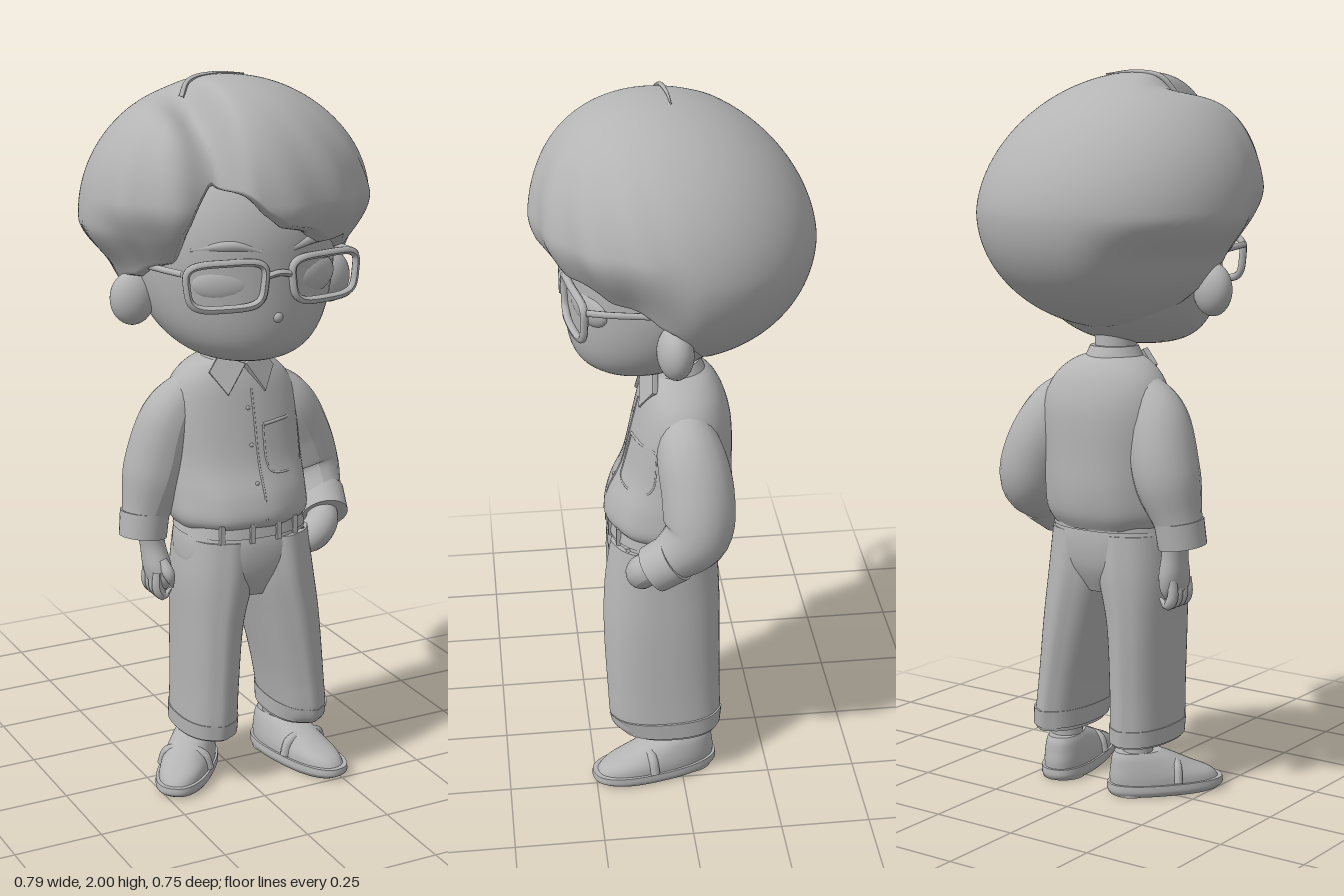
import * as THREE from 'three';

const V = (x, y, z) => new THREE.Vector3(x, y, z);
const clay = new THREE.MeshStandardMaterial({ color: 0xb4b4b4 });
clay.name = 'grey clay';

const spow = (v, e) => Math.sign(v) * Math.pow(Math.abs(v), e);
const smooth = THREE.MathUtils.smoothstep;

// Closed-around surface: fn(angle, v) with angle 0 at the front and v running downwards
function surface(fn, nu, nv) {
  const pos = [], idx = [];
  for (let j = 0; j <= nv; j++) for (let i = 0; i < nu; i++) {
    pos.push(...fn((i / nu) * Math.PI * 2 - Math.PI, j / nv, j));
  }
  for (let j = 0; j < nv; j++) for (let i = 0; i < nu; i++) {
    const a = j * nu + i, b = j * nu + (i + 1) % nu, c = a + nu, d = b + nu;
    idx.push(a, c, b, b, c, d);
  }
  const g = new THREE.BufferGeometry();
  g.setAttribute('position', new THREE.Float32BufferAttribute(pos, 3));
  g.setIndex(idx);
  g.computeVertexNormals();
  return g;
}

// Smooth interpolation through rows of numbers
function sample(rows, u) {
  const n = rows.length - 1, f = Math.min(Math.max(u, 0), 1) * n;
  const i = Math.min(Math.floor(f), n - 1), t = f - i, at = k => rows[Math.min(Math.max(k, 0), n)];
  return rows[i].map((p1, k) => {
    const p0 = at(i - 1)[k], p2 = at(i + 1)[k], p3 = at(i + 2)[k];
    return p1 + 0.5 * t * (p2 - p0 + t * (2 * p0 - 5 * p1 + 4 * p2 - p3 + t * (3 * (p1 - p2) + p3 - p0)));
  });
}

// Stack of horizontal rings [y, cx, cz, rx, rz] from top to bottom, capped; crease presses front and back folds
function loft(rows, { n = 2, crease = 0, ripple = 0 } = {}) {
  const steps = rows.length * 5;
  return surface((a, _, j) => {
    const u = (Math.min(Math.max(j, 2), steps + 2) - 2) / steps;
    const [y, cx, cz, rx, rz] = sample(rows, u);
    const k = j === 0 || j === steps + 4 ? 0 : 1;
    const fold = 1 + crease * Math.exp(-Math.pow(Math.sin(a) / 0.16, 2))
      + ripple * Math.sin(a * 9 + y * 8) * smooth(u, 0.3, 0.9);
    return [cx + k * rx * fold * spow(Math.sin(a), 2 / n), y, cz + k * rz * fold * spow(Math.cos(a), 2 / n)];
  }, 56, steps + 4);
}

// Tapered tube through points
function limb(pts, radii, seg = 28, rad = 20, closed = false) {
  const curve = new THREE.CatmullRomCurve3(pts, closed);
  const g = new THREE.TubeGeometry(curve, seg, 1, rad, closed);
  const p = g.attributes.position, v = V(0, 0, 0);
  for (let i = 0; i < p.count; i++) {
    const u = Math.floor(i / (rad + 1)) / seg, c = curve.getPointAt(u);
    const r = sample(radii.map(x => [x]), u)[0];
    v.fromBufferAttribute(p, i).sub(c).multiplyScalar(r).add(c);
    p.setXYZ(i, v.x, v.y, v.z);
  }
  g.computeVertexNormals();
  return g;
}
const wire = (pts, r, closed = false) => limb(pts, [r, r], pts.length * 8, 8, closed);

// Cylinder between two points
function rod(a, b, ra, rb) {
  const g = new THREE.CylinderGeometry(rb, ra, a.distanceTo(b), 32);
  g.applyQuaternion(new THREE.Quaternion().setFromUnitVectors(V(0, 1, 0), b.clone().sub(a).normalize()));
  const m = a.clone().add(b).multiplyScalar(0.5);
  return g.translate(m.x, m.y, m.z);
}
const ball = (x, y, z, rx, ry, rz, yaw = 0) => new THREE.SphereGeometry(1, 32, 20).scale(rx, ry, rz).rotateY(yaw).translate(x, y, z);

// Height of the hairline by angle from the front
const hairline = [[-3.15, 1.31], [-2.2, 1.33], [-1.75, 1.38], [-1.5, 1.48], [-1.1, 1.51], [-0.85, 1.54], [-0.65, 1.65],
  [-0.47, 1.79], [-0.3, 1.73], [-0.15, 1.675], [0.08, 1.635], [0.39, 1.59], [0.65, 1.575], [0.94, 1.54], [1.28, 1.51],
  [1.5, 1.48], [1.75, 1.38], [2.2, 1.33], [3.15, 1.31]];
function hairPoint(a, v) {
  let i = 0;
  while (i < hairline.length - 2 && hairline[i + 1][0] < a) i++;
  const [a0, y0] = hairline[i], [a1, y1] = hairline[i + 1];
  const front = smooth(Math.cos(a), -0.1, 0.5);
  const edge = y0 + (y1 - y0) * (a - a0) / (a1 - a0) + 0.015 * front * Math.abs(Math.sin(a * 7));
  const tEdge = Math.acos((edge - 1.62) / (edge > 1.62 ? 0.375 : 0.32));
  // the last tenth curls under as a rounded lip
  const k = Math.max(0, (v - 0.9) / 0.1), t = tEdge * Math.min(v / 0.9, 1) + 0.05 * Math.sin(Math.PI * k) - 0.06 * k * k;
  const c = Math.cos(t), s = Math.sin(t), lean = Math.pow(Math.max(c, 0), 1.3);
  const h = c * (c > 0 ? 0.375 : 0.32);
  // the fringe tucks in towards the face, and the right side is slimmer at the bottom
  const tuck = 1 - 0.19 * front * smooth(0.08 - h, 0, 0.2)
    - 0.14 * (1 - front) * smooth(-Math.sin(a), 0.2, 0.9) * smooth(-h, 0, 0.13);
  const f = (1 - 0.3 * k) * tuck * (1 + 0.014 * front * Math.pow(s, 4) * Math.sin(a * 15 + 4 * c));
  const x = 0.397 * s * Math.sin(a) * f - 0.03 * lean, z = 0.375 * s * Math.cos(a) * f + 0.06 * lean;
  const d = x + 0.155, dent = 1 - 0.2 * smooth(z, -0.12, 0.2) * Math.exp(-Math.pow(d / (d < 0 ? 0.075 : 0.035), 2));
  return [x, 1.62 + h * dent, z > 0 ? z * dent : z];
}

// Rounded head with the jaw pushed forwards
function headPoint(a, v) {
  const c = Math.cos(v * Math.PI), low = c < 0;
  const s = Math.pow(Math.max(Math.sin(v * Math.PI), 0), low ? 0.7 : 1);
  return [0.005 + 0.282 * s * Math.sin(a), 1.552 + 0.3 * c, 0.02 + (low ? 0.1 * c * c : 0) + 0.27 * s * Math.cos(a)];
}

const torso = [[1.235, 0.015, -0.005, 0.06, 0.065], [1.21, 0.015, -0.015, 0.12, 0.09], [1.16, 0.02, -0.02, 0.17, 0.115],
  [1.08, 0.025, -0.02, 0.195, 0.135], [0.95, 0.025, -0.006, 0.195, 0.152], [0.86, 0.025, 0.014, 0.198, 0.172],
  [0.795, 0.025, 0.024, 0.197, 0.172], [0.755, 0.025, 0.015, 0.17, 0.142]];
// Point on the front of the shirt
function onShirt(x, y) {
  let lo = 0, hi = 1;
  for (let i = 0; i < 24; i++) { const m = (lo + hi) / 2; if (sample(torso, m)[0] > y) lo = m; else hi = m; }
  const [, cx, cz, rx, rz] = sample(torso, lo);
  return V(x, y, cz + rz * Math.sqrt(Math.max(0, 1 - Math.pow((x - cx) / rx, 2))));
}

export function createModel() {
  const model = new THREE.Group();
  const add = (name, geo, parent = model) => {
    const m = new THREE.Mesh(geo, clay);
    m.name = name;
    parent.add(m);
    return m;
  };

  // Head and hair
  add('head', surface(headPoint, 64, 40));
  add('hair', surface(hairPoint, 220, 80));
  add('looseStrand', limb([V(-0.15, 1.94, 0.045), V(-0.12, 1.98, 0.025), V(-0.04, 1.994, 0.015), V(0.05, 1.988, 0.01)], [0.008, 0.006, 0.002], 20, 8));
  add('shortStrand', limb([V(-0.27, 1.9, 0.035), V(-0.24, 1.9, 0.05), V(-0.21, 1.87, 0.07)], [0.002, 0.005, 0.004], 12, 8));
  add('neck', new THREE.CylinderGeometry(0.055, 0.06, 0.16, 32).translate(0.012, 1.26, 0));
  add('rightEar', ball(-0.287, 1.42, 0.025, 0.06, 0.072, 0.046, -0.25));
  add('leftEar', ball(0.308, 1.42, 0.03, 0.062, 0.072, 0.046, 0.25));

  // Face and glasses
  const face = new THREE.Group();
  face.name = 'face';
  face.position.x = 0.01;
  model.add(face);
  add('nose', ball(0, 1.393, 0.28, 0.016, 0.016, 0.016), face);
  add('mouth', wire([V(-0.03, 1.327, 0.27), V(0, 1.323, 0.272), V(0.03, 1.327, 0.27)], 0.003), face);
  const lensZ = x => 0.293 - 0.6 * x * x;
  for (const s of [-1, 1]) {
    add('eye', ball(s * 0.132, 1.485, 0.232, 0.085, 0.052, 0.03, s * 0.45), face);
    add('eyebrow', limb([V(s * 0.045, 1.57, 0.28), V(s * 0.12, 1.587, 0.257), V(s * 0.21, 1.573, 0.2)], [0.008, 0.015, 0.005], 16, 10), face);
    const rim = [];
    for (let i = 0; i < 28; i++) {
      const t = (i / 28) * Math.PI * 2, dy = spow(Math.sin(t), 0.5);
      const x = s * (0.144 + (0.103 + 0.007 * dy) * spow(Math.cos(t), 0.5));
      rim.push(V(x, 1.488 + 0.06 * dy, lensZ(x)));
    }
    add('glassesRim', wire(rim, 0.0105, true), face);
    add('glassesTemple', wire([V(s * 0.255, 1.525, 0.25), V(s * 0.274, 1.525, 0.19), V(s * 0.284, 1.515, 0.04)], 0.009), face);
  }
  add('glassesBridge', wire([V(-0.04, 1.505, 0.291), V(0, 1.513, 0.296), V(0.04, 1.505, 0.291)], 0.009), face);

  // Shirt body with collar, placket, buttons and pocket
  add('shirt', loft(torso, { n: 2.1, ripple: 0.012 }));
  add('collar', loft([[1.255, 0.013, -0.005, 0.066, 0.066], [1.23, 0.013, -0.005, 0.078, 0.078], [1.195, 0.015, -0.005, 0.1, 0.09]]));
  for (const s of [-1, 1]) {
    const flap = new THREE.Shape([[0, 0], [s * 0.065, 0.03], [s * 0.095, -0.01], [s * 0.055, -0.075]].map(p => new THREE.Vector2(...p)));
    const m = add('collarFlap', new THREE.ExtrudeGeometry(flap, { depth: 0.012, bevelSize: 0.003, bevelThickness: 0.003, bevelSegments: 2 }));
    m.position.set(0.016, 1.215, 0.08);
    m.rotation.set(-0.32, s * 0.3, 0);
  }
  const seam = (name, pts, r = 0.003) => add(name, wire(pts.map(p => onShirt(...p)), r));
  seam('placketEdge', [[0.03, 1.15], [0.03, 1.05], [0.03, 0.95], [0.03, 0.87], [0.03, 0.8]]);
  for (const y of [1.1, 1.0, 0.9]) { const p = onShirt(0.014, y); add('button', ball(p.x, p.y, p.z, 0.006, 0.006, 0.004)); }
  seam('pocketTop', [[0.055, 1.05], [0.12, 1.055], [0.18, 1.055]], 0.005);
  seam('pocketEdge', [[0.055, 1.05], [0.055, 0.95], [0.065, 0.925], [0.12, 0.915], [0.18, 0.925], [0.19, 0.95], [0.185, 1.05]]);

  // Hanging right arm
  add('rightSleeve', limb([V(-0.08, 1.15, -0.02), V(-0.145, 1.08, -0.027), V(-0.185, 0.93, -0.045), V(-0.232, 0.77, -0.042)], [0.055, 0.086, 0.092, 0.064]));
  add('rightCuff', rod(V(-0.237, 0.725, -0.038), V(-0.228, 0.795, -0.043), 0.067, 0.069));
  const rightHand = new THREE.Group();
  rightHand.name = 'rightHand';
  rightHand.position.set(0.005, 0, -0.065);
  model.add(rightHand);
  add('palm', loft([[0.77, -0.225, 0.025, 0.04, 0.042], [0.7, -0.215, 0.03, 0.035, 0.04], [0.64, -0.207, 0.04, 0.038, 0.052],
    [0.6, -0.203, 0.045, 0.033, 0.05], [0.575, -0.2, 0.045, 0.02, 0.035]]), rightHand);
  for (let i = 0; i < 4; i++) {
    const z = 0.008 + i * 0.024;
    add('finger', limb([V(-0.222, 0.63, z), V(-0.222, 0.58, z), V(-0.205, 0.557, z), V(-0.182, 0.575, z)], [0.013, 0.015, 0.015, 0.004], 14, 10), rightHand);
  }
  add('thumb', limb([V(-0.205, 0.66, 0.075), V(-0.195, 0.62, 0.1), V(-0.185, 0.585, 0.098)], [0.014, 0.017, 0.004], 12, 10), rightHand);

  // Bent left arm with the hand in the pocket
  add('leftSleeve', limb([V(0.11, 1.145, -0.02), V(0.18, 1.07, -0.023), V(0.245, 0.95, -0.04), V(0.278, 0.85, -0.03), V(0.28, 0.77, 0.05)], [0.055, 0.09, 0.099, 0.093, 0.064]));
  add('leftCuff', rod(V(0.272, 0.745, 0.085), V(0.287, 0.79, 0.025), 0.067, 0.07));
  add('leftHand', limb([V(0.275, 0.77, 0.06), V(0.25, 0.73, 0.105), V(0.21, 0.69, 0.11), V(0.17, 0.65, 0.09)], [0.04, 0.046, 0.042, 0.01]));

  // Trousers
  add('hips', loft([[0.8, 0.025, 0.03, 0.165, 0.14], [0.72, 0.025, 0.035, 0.187, 0.154], [0.64, 0.027, 0.037, 0.175, 0.146], [0.57, 0.028, 0.038, 0.07, 0.115]], { n: 2.3 }));
  add('waistband', loft([[0.79, 0.025, 0.03, 0.175, 0.153], [0.75, 0.025, 0.033, 0.184, 0.156]], { n: 2.3 }));
  for (const x of [-0.09, -0.01, 0.07, 0.13]) {
    add('beltLoop', new THREE.BoxGeometry(0.014, 0.055, 0.012).translate(x, 0.765, 0.03 + 0.158 * Math.sqrt(1 - Math.pow((x - 0.025) / 0.21, 2))));
  }
  add('pocketSlit', wire([V(0.165, 0.745, 0.145), V(0.19, 0.7, 0.13), V(0.212, 0.63, 0.1)], 0.006));
  add('rightLeg', loft([[0.74, -0.05, 0.035, 0.105, 0.139], [0.62, -0.06, 0.033, 0.106, 0.146], [0.48, -0.076, 0.03, 0.088, 0.143],
    [0.3, -0.081, 0.026, 0.081, 0.138], [0.18, -0.083, 0.022, 0.081, 0.135], [0.145, -0.083, 0.018, 0.079, 0.128]], { n: 2.3, crease: 0.06 }));
  add('leftLeg', loft([[0.74, 0.105, 0.04, 0.105, 0.139], [0.62, 0.115, 0.045, 0.108, 0.152], [0.48, 0.142, 0.048, 0.097, 0.156],
    [0.3, 0.173, 0.047, 0.081, 0.152], [0.18, 0.19, 0.042, 0.075, 0.148], [0.145, 0.19, 0.025, 0.072, 0.125]], { n: 2.3, crease: 0.06 }));
  add('rightHem', loft([[0.195, -0.083, 0.022, 0.084, 0.138], [0.15, -0.083, 0.019, 0.083, 0.134]], { n: 2.3, crease: 0.06 }));
  add('leftHem', loft([[0.205, 0.189, 0.043, 0.08, 0.153], [0.155, 0.191, 0.032, 0.079, 0.138]], { n: 2.3, crease: 0.06 }));

  // Loafers, built once pointing forwards and turned outwards
  for (const [side, x, z, yaw, len] of [['right', -0.137, 0.03, -0.7, 0.94], ['left', 0.198, 0.078, 0.23, 1.05]]) {
    const shoe = new THREE.Group();
    shoe.name = side + 'Shoe';
    add('sole', loft([[0.034, 0, 0, 0.076, 0.176], [0.015, 0, 0, 0.077, 0.177], [0.002, 0, -0.005, 0.07, 0.165]], { n: 2.4 }), shoe);
    add('heel', new THREE.CylinderGeometry(0.062, 0.06, 0.03, 32).translate(0, 0.015, -0.105), shoe);
    add('upper', loft([[0.122, 0, -0.085, 0.045, 0.07], [0.105, 0, -0.068, 0.054, 0.095], [0.078, 0, -0.04, 0.063, 0.127], [0.052, 0, -0.012, 0.069, 0.158], [0.025, 0, 0, 0.07, 0.168]], { n: 2.3 }), shoe);
    add('strap', limb([V(-0.071, 0.035, 0.02), V(-0.055, 0.078, 0.022), V(0, 0.09, 0.025), V(0.055, 0.078, 0.022), V(0.071, 0.035, 0.02)], [0.013, 0.013], 24, 10), shoe);
    add('ankle', new THREE.CylinderGeometry(0.045, 0.045, 0.14, 28).translate(0, 0.15, -0.085), shoe);
    shoe.position.set(x, 0, z);
    shoe.rotation.y = yaw;
    shoe.scale.z = len;
    model.add(shoe);
  }
  return model;
}
